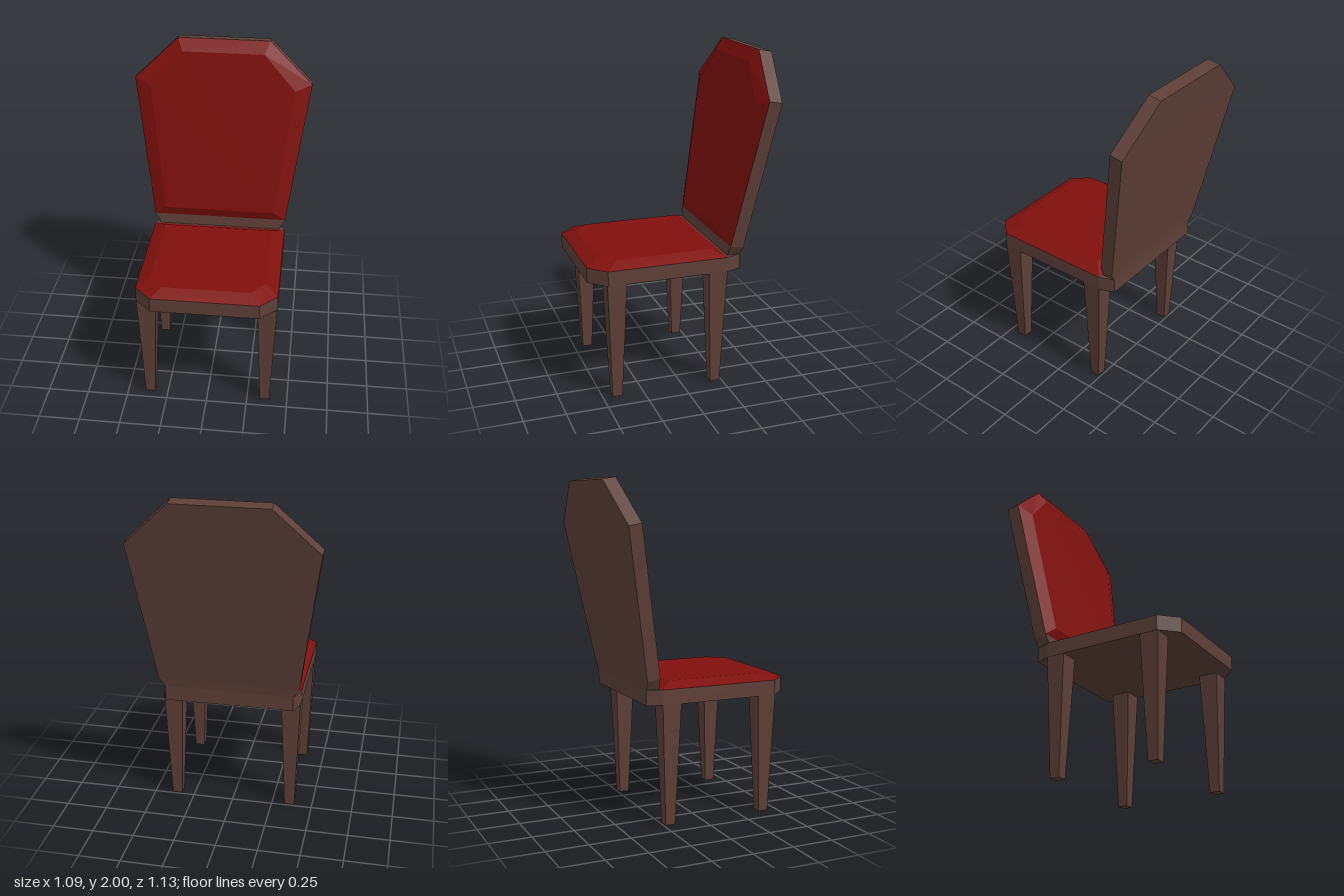
import * as THREE from 'three';

const wood = new THREE.MeshStandardMaterial({ color: 0x5d4037, flatShading: true });
const fabric = new THREE.MeshStandardMaterial({ color: 0x7f100d, flatShading: true });

// Skins a stack of convex rings (counterclockwise seen from the last ring) and caps both ends.
function loft(name, rings, material) {
  const pos = [];
  const tri = (a, b, c) => pos.push(...a, ...b, ...c);
  const n = rings[0].length;
  for (let r = 0; r < rings.length - 1; r++) {
    for (let i = 0; i < n; i++) {
      const j = (i + 1) % n;
      const [a, b, c, d] = [rings[r][i], rings[r][j], rings[r + 1][j], rings[r + 1][i]];
      tri(a, b, c);
      tri(a, c, d);
    }
  }
  const first = rings[0], last = rings[rings.length - 1];
  for (let i = 1; i < n - 1; i++) {
    tri(first[0], first[i + 1], first[i]);
    tri(last[0], last[i], last[i + 1]);
  }
  const geometry = new THREE.BufferGeometry();
  geometry.setAttribute('position', new THREE.Float32BufferAttribute(pos, 3));
  geometry.computeVertexNormals();
  const mesh = new THREE.Mesh(geometry, material);
  mesh.name = name;
  return mesh;
}

// Completes a right-hand half outline with its mirror image across x = 0.
const mirror = (half) => [...half, ...half.map(([x, y, z]) => [-x, y, z]).reverse()];

// Horizontal ring from [x, z] pairs running front to back.
const flat = (y, half) => mirror(half.map(([x, z]) => [x, y, z]));

export function createModel() {
  const chair = new THREE.Group();
  chair.name = 'chair';

  // Seat frame, clipped at the front and narrowing at the rear
  const frame = [[0.32, 0.565], [0.42, 0.465], [0.42, -0.265], [0.385, -0.355]];
  chair.add(loft('seatFrame', [flat(0.72, frame), flat(0.81, frame)], wood));

  // Bevelled seat cushion
  chair.add(loft('seatCushion', [
    flat(0.81, [[0.32, 0.565], [0.42, 0.465], [0.42, -0.265]]),
    flat(0.845, [[0.26, 0.49], [0.34, 0.39], [0.34, -0.195]]),
  ], fabric));

  // Backrest frame: rows of half width, front y and z, back y and z
  const rows = [
    [0.385, 0.81, -0.275, 0.81, -0.355],
    [0.42, 0.875, -0.283, 0.862, -0.362],
    [0.545, 1.75, -0.442, 1.737, -0.52],
    [0.28, 2.0, -0.488, 1.987, -0.566],
  ];
  chair.add(loft('backFrame',
    rows.map(([w, yf, zf, yb, zb]) => mirror([[w, yf, zf], [w, yb, zb]])), wood));

  // Backrest cushion, raised from the leaning front face
  const outer = rows.slice(1).map(([w, y, z]) => [w, y, z]);
  const inner = [[0.345, 0.935], [0.445, 1.715], [0.25, 1.93]]
    .map(([x, y]) => [x, y, -0.263 - (y - 0.935) * 0.178]);
  chair.add(loft('backCushion', [mirror(outer), mirror(inner)], fabric));

  // Four tapered square legs
  const square = (cx, cz, y, h) =>
    [[h, h], [h, -h], [-h, -h], [-h, h]].map(([dx, dz]) => [cx + dx, y, cz + dz]);
  for (const [end, z] of [['front', 0.412], ['back', -0.208]]) {
    for (const [side, x] of [['Left', 0.36], ['Right', -0.36]]) {
      chair.add(loft(`${end}${side}Leg`,
        [square(x, z, 0, 0.03), square(x, z, 0.72, 0.058)], wood));
    }
  }
  return chair;
}
